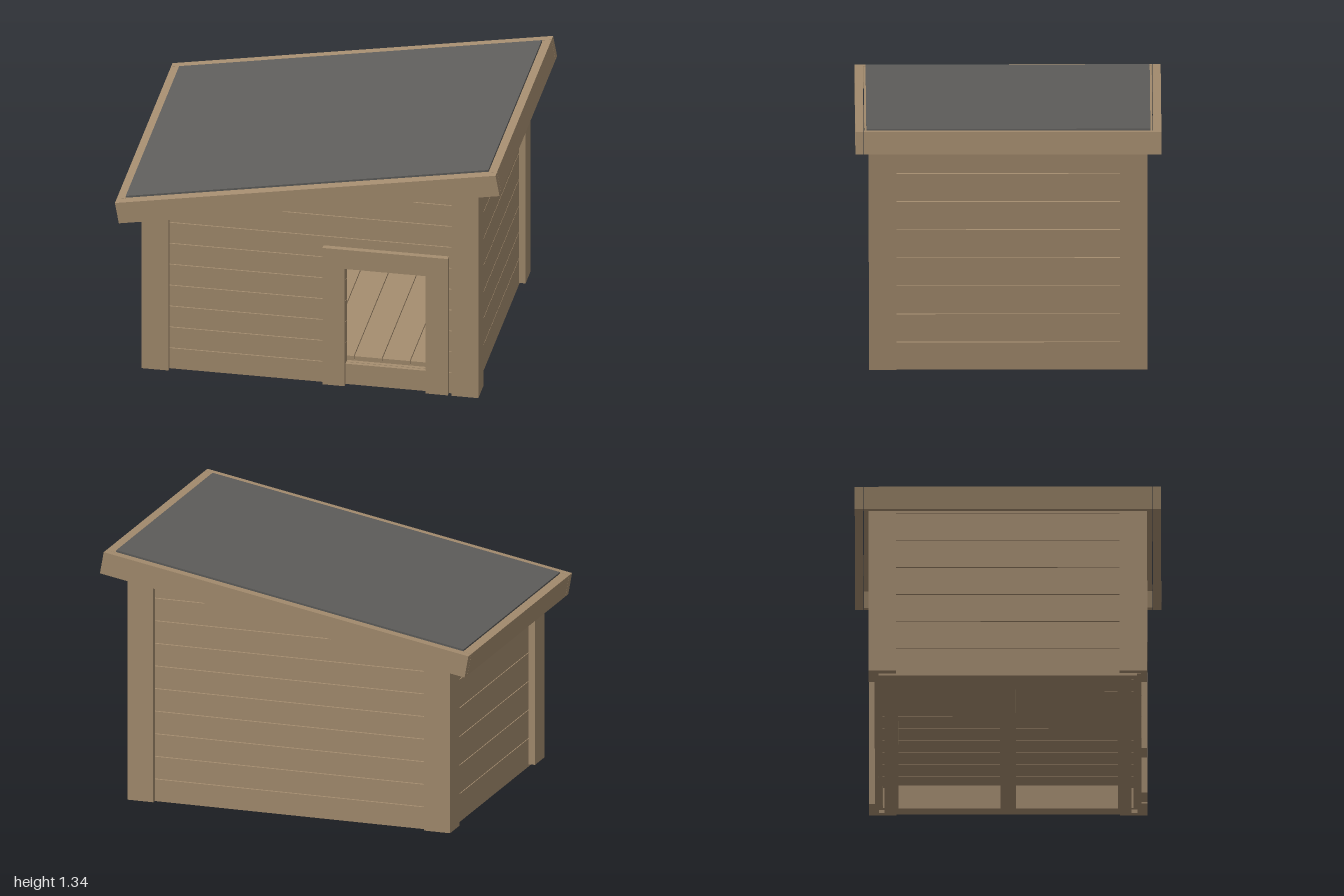
import * as THREE from 'three';

const wood = new THREE.MeshStandardMaterial({ color: 0xa68e70 });
wood.name = 'weathered wood';
const felt = new THREE.MeshStandardMaterial({ color: 0x5f5e5c });
felt.name = 'grey roofing felt';

const SLOPE = 0.1785, GAP = 0.004;
const roofY = x => 1.138 + SLOPE * x; // underside of the roof deck
const roofX = y => (y - 1.138) / SLOPE;

export function createModel() {
  const model = new THREE.Group();
  model.name = 'kennel';

  const group = (name, parent = model) => {
    const g = new THREE.Group();
    g.name = name;
    parent.add(g);
    return g;
  };
  // Box given by its two extreme corners
  const box = (parent, name, [x0, y0, z0], [x1, y1, z1], mat = wood) => {
    const m = new THREE.Mesh(new THREE.BoxGeometry(x1 - x0, y1 - y0, z1 - z0), mat);
    m.position.set((x0 + x1) / 2, (y0 + y1) / 2, (z0 + z1) / 2);
    m.name = name;
    parent.add(m);
    return m;
  };
  // Outline in x and y, extruded from z0 to z1
  const slab = (parent, name, pts, z0, z1, hole) => {
    const toV = p => new THREE.Vector2(...p);
    const shape = new THREE.Shape(pts.map(toV));
    if (hole) shape.holes.push(new THREE.Path(hole.map(toV)));
    const geo = new THREE.ExtrudeGeometry(shape, { depth: z1 - z0, bevelEnabled: false });
    geo.translate(0, 0, z0);
    const m = new THREE.Mesh(geo, wood);
    m.name = name;
    parent.add(m);
  };
  // Board whose upper edge is cut to the roof slope
  const cutBoard = (parent, name, x0, x1, y0, y1, z0, z1) => {
    if (roofY(x1) <= y0 + 0.002) return;
    const left = Math.max(x0, roofX(y0));
    const knee = Math.max(left, Math.min(x1, roofX(y1)));
    const pts = [[left, y0], [x1, y0], [x1, Math.min(y1, roofY(x1))],
      [knee, Math.min(y1, roofY(knee))], [left, Math.min(y1, roofY(left))]];
    const unique = pts.filter((p, i) => {
      const q = pts[(i + 1) % pts.length];
      return Math.hypot(p[0] - q[0], p[1] - q[1]) > 1e-5;
    });
    slab(parent, name, unique, z0, z1);
  };

  // Base frame and floor
  const base = group('baseFrame');
  for (const s of [-1, 1]) {
    box(base, 'longRail', [-0.835, 0, s * 0.595 - 0.035], [0.835, 0.13, s * 0.595 + 0.035]);
    box(base, 'shortRail', [s * 0.8 - 0.035, 0, -0.56], [s * 0.8 + 0.035, 0.13, 0.56]);
  }
  box(base, 'middleJoist', [-0.765, 0, -0.04], [0.765, 0.13, 0.04]);
  const floor = group('floor');
  for (let i = 0; i < 11; i++) {
    const x = -0.8 + i * 1.6 / 11;
    box(floor, 'floorBoard', [x, 0.13, -0.64], [x + 1.6 / 11 - GAP, 0.155, 0.64]);
  }

  // Front and back walls: horizontal planks over a lining
  const front = group('frontWall'), back = group('backWall');
  for (let y = 0.012; y < 1.29; y += 0.1205) {
    const top = y + 0.1205 - GAP;
    cutBoard(back, 'backPlank', -0.84, 0.84, y, top, -0.68, -0.66);
    if (y > 0.1 && y < 0.69) {
      cutBoard(front, 'frontPlank', -0.84, 0.18, y, top, 0.66, 0.68);
      cutBoard(front, 'frontPlank', 0.6, 0.84, y, top, 0.66, 0.68);
    } else cutBoard(front, 'frontPlank', -0.84, 0.84, y, top, 0.66, 0.68);
  }
  const gable = [[-0.82, 0.02], [0.82, 0.02], [0.82, roofY(0.82)], [-0.82, roofY(-0.82)]];
  const doorway = [[0.18, 0.13], [0.18, 0.69], [0.6, 0.69], [0.6, 0.13]];
  slab(front, 'frontLining', gable, 0.64, 0.66, doorway);
  slab(back, 'backLining', gable, -0.66, -0.64);
  // Upright boards on the inside of the back wall
  for (let i = 0; i < 13; i++) {
    const x = -0.8 + i * 1.6 / 13;
    cutBoard(back, 'innerBoard', x, x + 1.6 / 13 - GAP, 0.155, 2, -0.64, -0.63);
  }

  // Side walls
  for (const s of [-1, 1]) {
    const side = group(s > 0 ? 'leftWall' : 'rightWall');
    const limit = roofY(s * 0.83);
    const a = Math.min(s * 0.82, s * 0.84), l = Math.min(s * 0.8, s * 0.82);
    for (let y = 0.002; y < limit - 0.01; y += 0.1525) {
      box(side, 'sidePlank', [a, y, -0.66], [a + 0.02, Math.min(y + 0.1525 - GAP, limit), 0.66]);
    }
    box(side, 'sideLining', [l, 0.02, -0.64], [l + 0.02, roofY(l), 0.64]);
  }

  // Corner boards, two at each corner
  const corners = group('cornerBoards');
  for (const sx of [-1, 1]) for (const sz of [-1, 1]) {
    const x0 = sx > 0 ? 0.735 : -0.875, z0 = sz > 0 ? 0.68 : -0.71;
    cutBoard(corners, 'cornerFaceBoard', x0, x0 + 0.14, 0.014, 2, z0, z0 + 0.03);
    const xs = sx > 0 ? 0.84 : -0.875, zs = sz > 0 ? 0.57 : -0.68;
    cutBoard(corners, 'cornerSideBoard', xs, xs + 0.035, 0.014, 2, zs, zs + 0.11);
  }

  // Mitred door surround
  const door = group('doorSurround');
  slab(door, 'doorJamb', [[0.065, 0.014], [0.18, 0.014], [0.18, 0.69], [0.065, 0.8]], 0.68, 0.71);
  slab(door, 'doorJamb', [[0.6, 0.014], [0.717, 0.014], [0.717, 0.8], [0.6, 0.69]], 0.68, 0.71);
  slab(door, 'doorHead', [[0.18, 0.69], [0.6, 0.69], [0.717, 0.8], [0.065, 0.8]], 0.68, 0.71);

  // Sloping roof: deck, felt and edge boards
  const roof = group('roof');
  roof.position.set(-0.011, 1.1665, 0);
  roof.rotation.z = Math.atan(SLOPE);
  box(roof, 'roofDeck', [-0.96, -0.03, -0.735], [0.96, -0.002, 0.735]);
  box(roof, 'roofFelt', [-0.957, -0.002, -0.725], [0.957, 0.008, 0.725], felt);
  for (const s of [-1, 1]) {
    box(roof, 'bargeBoard', [-1.0045, -0.117, s * 0.76 - 0.021], [1.0045, 0, s * 0.76 + 0.021]);
    box(roof, 'fasciaBoard', [s * 0.982 - 0.0225, -0.117, -0.737], [s * 0.982 + 0.0225, 0, 0.737]);
  }
  return model;
}
